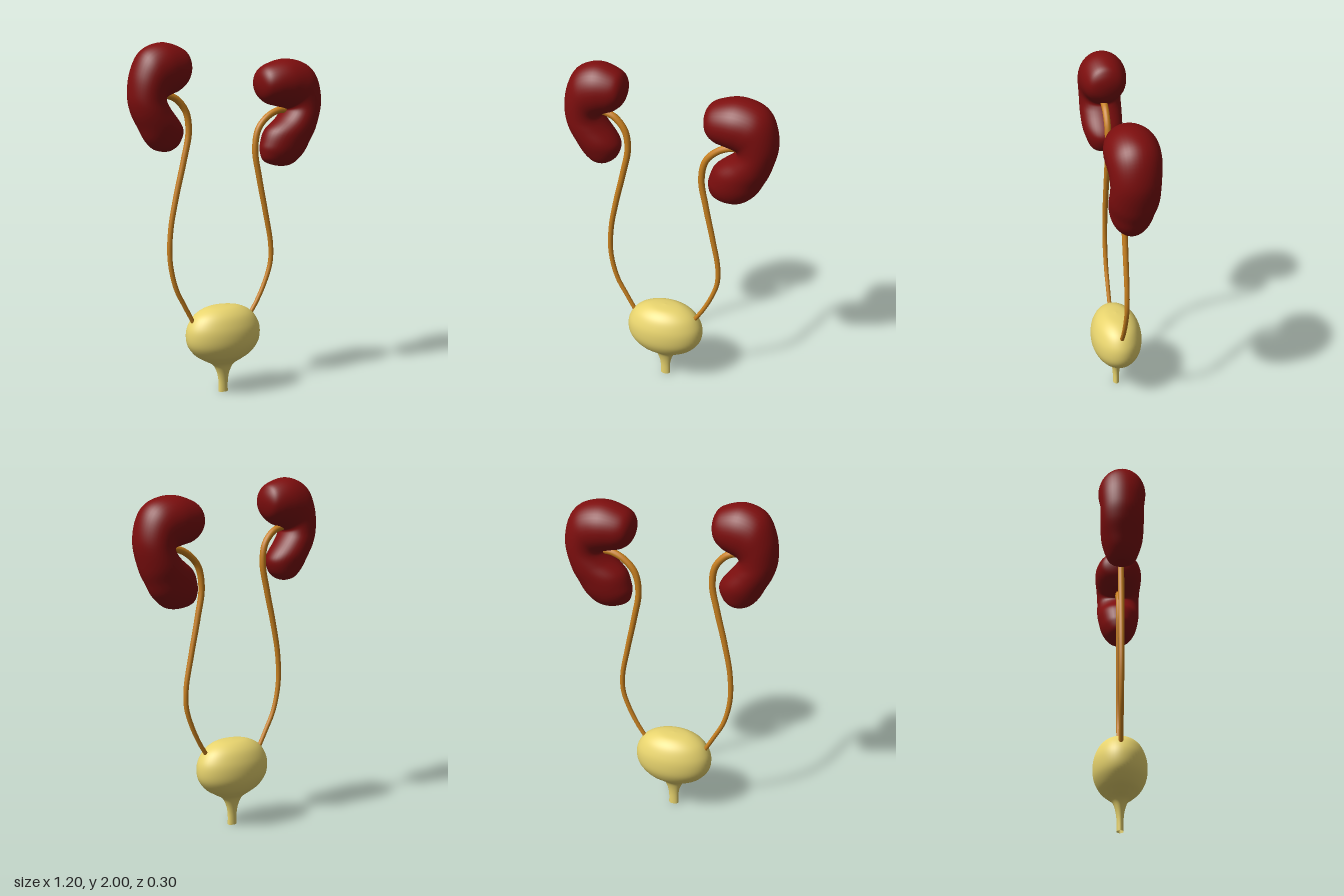
import * as THREE from 'three';
import { mergeVertices } from 'three/addons/utils/BufferGeometryUtils.js';

const V = (x, y, z = 0) => new THREE.Vector3(x, y, z);
const material = (color, side = THREE.FrontSide) =>
  new THREE.MeshStandardMaterial({ color, roughness: 0.7, side });

// Bean-shaped loft: elliptical sections fan between an outer and an inner edge.
// Each section is [outerX, outerY, innerX, innerY, halfDepth]; first and last are the tips.
function beanGeometry(sections, side) {
  const n = sections.length - 1;
  const outer = sections.map(([x, y, , , d]) => V(x, y, d));
  const inner = sections.slice(1, n).reverse().map(([, , x, y, d]) => V(x, y, -d));
  const outline = new THREE.CatmullRomCurve3([...outer, ...inner], true, 'catmullrom', 0.5);
  const rows = 72, cols = 40, pos = [], index = [];
  for (let i = 0; i <= rows; i++) {
    const u = (i / rows) * 0.5;
    const a = outline.getPoint(u), b = outline.getPoint((1 - u) % 1);
    const depth = i === 0 || i === rows ? 0 : (a.z - b.z) / 2;
    for (let j = 0; j < cols; j++) {
      const t = (j / cols) * Math.PI * 2, c = Math.cos(t);
      pos.push((a.x + b.x) / 2 + c * (a.x - b.x) / 2,
        (a.y + b.y) / 2 + c * (a.y - b.y) / 2,
        side * depth * Math.sin(t));
      if (i === rows) continue;
      const p = i * cols + j, q = i * cols + (j + 1) % cols;
      index.push(p, q, p + cols, q, q + cols, p + cols);
    }
  }
  let g = new THREE.BufferGeometry();
  g.setAttribute('position', new THREE.Float32BufferAttribute(pos, 3));
  g.setIndex(index);
  g = mergeVertices(g, 1e-5);
  g.computeVertexNormals();
  return g;
}

// Tube whose radius narrows along its path
function taperedTube(points, r0, r1) {
  const curve = new THREE.CatmullRomCurve3(points.map(([x, y]) => V(x, y)));
  const rows = 90, cols = 14;
  const g = new THREE.TubeGeometry(curve, rows, r0, cols);
  const p = g.attributes.position, v = V(0, 0);
  for (let i = 0; i <= rows; i++) {
    const c = curve.getPointAt(i / rows);
    const k = THREE.MathUtils.lerp(1, r1 / r0, i / rows);
    for (let j = 0; j <= cols; j++) {
      const id = i * (cols + 1) + j;
      v.fromBufferAttribute(p, id).sub(c).multiplyScalar(k).add(c);
      p.setXYZ(id, v.x, v.y, v.z);
    }
  }
  return g;
}

export function createModel() {
  const model = new THREE.Group();
  const add = (name, geometry, mat) => {
    const mesh = new THREE.Mesh(geometry, mat);
    mesh.name = name;
    model.add(mesh);
    return mesh;
  };
  const red = material(0x7d0e0e);
  const orange = material(0xc8801f, THREE.DoubleSide);
  const yellow = material(0xe8d46e, THREE.DoubleSide);

  // Kidneys, from the upper tip round to the lower tip
  add('rightKidney', beanGeometry([
    [-0.25, 1.86, -0.25, 1.86, 0],
    [-0.26, 1.925, -0.27, 1.785, 0.075],
    [-0.30, 1.97, -0.315, 1.74, 0.11],
    [-0.415, 2.0, -0.36, 1.72, 0.13],
    [-0.53, 1.955, -0.39, 1.705, 0.132],
    [-0.59, 1.84, -0.40, 1.69, 0.125],
    [-0.605, 1.71, -0.39, 1.67, 0.12],
    [-0.585, 1.615, -0.365, 1.635, 0.12],
    [-0.545, 1.535, -0.31, 1.565, 0.115],
    [-0.51, 1.47, -0.293, 1.515, 0.098],
    [-0.465, 1.425, -0.315, 1.455, 0.073],
    [-0.415, 1.41, -0.35, 1.425, 0.04],
    [-0.38, 1.412, -0.38, 1.412, 0],
  ], -1), red);
  add('leftKidney', beanGeometry([
    [0.195, 1.765, 0.195, 1.765, 0],
    [0.205, 1.835, 0.215, 1.695, 0.08],
    [0.255, 1.88, 0.26, 1.655, 0.12],
    [0.375, 1.91, 0.325, 1.637, 0.142],
    [0.50, 1.88, 0.36, 1.627, 0.142],
    [0.57, 1.80, 0.375, 1.62, 0.135],
    [0.597, 1.66, 0.37, 1.605, 0.13],
    [0.565, 1.515, 0.335, 1.57, 0.13],
    [0.527, 1.43, 0.255, 1.505, 0.122],
    [0.49, 1.365, 0.225, 1.43, 0.108],
    [0.43, 1.31, 0.22, 1.385, 0.085],
    [0.37, 1.293, 0.237, 1.33, 0.05],
    [0.295, 1.302, 0.295, 1.302, 0],
  ], 1), red);

  // Ureters, from the kidneys down into the bladder
  add('rightUreter', taperedTube([
    [-0.40, 1.72], [-0.36, 1.71], [-0.32, 1.69], [-0.265, 1.62], [-0.25, 1.51], [-0.28, 1.36],
    [-0.33, 1.155], [-0.365, 0.97], [-0.37, 0.80], [-0.335, 0.64], [-0.28, 0.53], [-0.215, 0.41],
  ], 0.02, 0.012), orange);
  add('leftUreter', taperedTube([
    [0.38, 1.62], [0.33, 1.615], [0.265, 1.585], [0.20, 1.515], [0.178, 1.395], [0.205, 1.235],
    [0.25, 1.025], [0.285, 0.84], [0.283, 0.73], [0.245, 0.615], [0.195, 0.515], [0.14, 0.43],
  ], 0.02, 0.012), orange);

  // Bladder and its outlet: one flattened lathe, open at the bottom
  const profile = new THREE.SplineCurve([
    [0.029, 0], [0.03, 0.07], [0.043, 0.125], [0.068, 0.165], [0.12, 0.195], [0.175, 0.23],
    [0.218, 0.285], [0.23, 0.345], [0.218, 0.405], [0.175, 0.465], [0.10, 0.503], [0, 0.513],
  ].map(([x, y]) => new THREE.Vector2(x, y))).getPoints(66);
  profile[profile.length - 1].x = 0;
  const bladder = add('bladder', new THREE.LatheGeometry(profile, 56), yellow);
  bladder.scale.z = 0.65;
  bladder.position.x = -0.033;

  return model;
}
